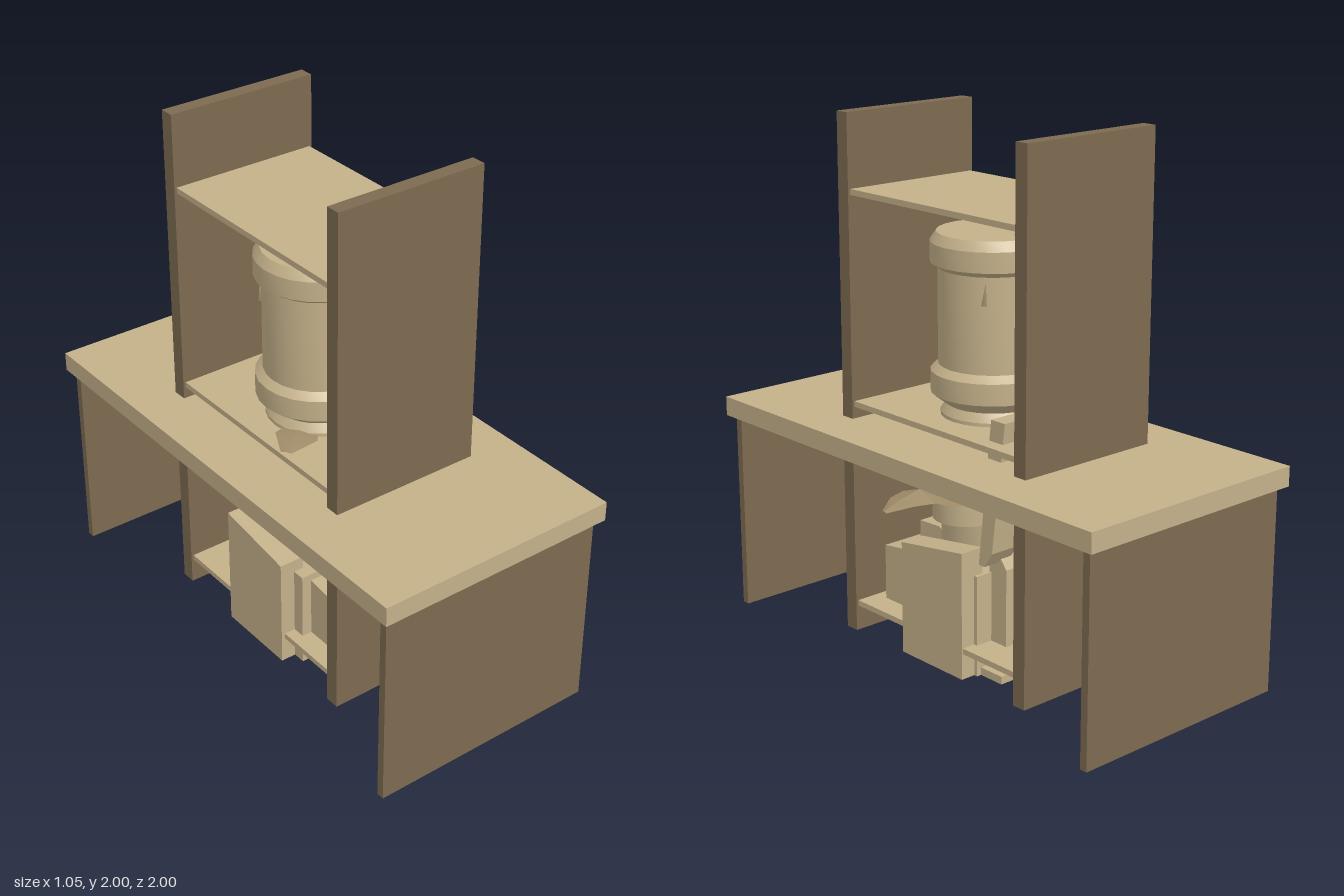
import * as THREE from 'three';
import { toCreasedNormals } from 'three/addons/utils/BufferGeometryUtils.js';

const WOOD = new THREE.MeshStandardMaterial({ color: 0x7d6a50 });
const TAN = new THREE.MeshStandardMaterial({ color: 0xc4b18a });
const LEAF = new THREE.MeshStandardMaterial({ color: 0xa08c69, side: THREE.DoubleSide });
const CX = -0.05; // axis of the drum machine

export function createModel() {
  const model = new THREE.Group();

  function add(parent, name, geometry, material) {
    const mesh = new THREE.Mesh(geometry, material);
    mesh.name = name;
    parent.add(mesh);
    return mesh;
  }

  // Box given by its lower and upper limits
  function box(parent, name, x0, x1, y0, y1, z0, z1, material) {
    const g = new THREE.BoxGeometry(x1 - x0, y1 - y0, z1 - z0);
    g.translate((x0 + x1) / 2, (y0 + y1) / 2, (z0 + z1) / 2);
    return add(parent, name, g, material);
  }

  // Outline in the z-y plane, extruded from x0 to x1
  function sidePrism(parent, name, outline, x0, x1) {
    const shape = new THREE.Shape(outline.map(([z, y]) => new THREE.Vector2(-z, y)));
    const g = new THREE.ExtrudeGeometry(shape, { depth: x1 - x0, bevelEnabled: false });
    g.rotateY(Math.PI / 2);
    g.translate(x0, 0, 0);
    return add(parent, name, g, TAN);
  }

  // Profile of [radius, height] turned around an upright axis
  function turned(parent, name, profile, x) {
    const g = new THREE.LatheGeometry(profile.map(([r, y]) => new THREE.Vector2(r, y)), 24);
    const mesh = add(parent, name, toCreasedNormals(g, 0.5), TAN);
    mesh.position.x = x;
    return mesh;
  }

  // Bent blade: stations of [distance, height, half width, edge droop]
  function blade(parent, name, stations) {
    const pos = [], index = [];
    stations.forEach(([d, h, w, droop], i) => {
      pos.push(d, h - droop, -w, d, h, 0, d, h - droop, w);
      if (i === 0) return;
      const a = (i - 1) * 3, b = i * 3;
      for (let k = 0; k < 2; k++) {
        index.push(a + k, a + k + 1, b + k, a + k + 1, b + k + 1, b + k);
      }
    });
    const g = new THREE.BufferGeometry();
    g.setAttribute('position', new THREE.Float32BufferAttribute(pos, 3));
    g.setIndex(index);
    return add(parent, name, toCreasedNormals(g, 0.4), LEAF);
  }

  // Desk with end panels, tall uprights and shelves
  const desk = new THREE.Group();
  desk.name = 'desk';
  model.add(desk);
  box(desk, 'desktop', -0.53, 0.44, 0.78, 0.855, -1, 1, TAN);
  for (const s of [-1, 1]) {
    const leg = [0.94 * s, 0.97 * s].sort((a, b) => a - b);
    const up = [0.443 * s, 0.5 * s].sort((a, b) => a - b);
    box(desk, 'endPanel', -0.505, 0.415, 0, 0.78, ...leg, WOOD);
    box(desk, 'upright', -0.345, 0.255, 0, 2, ...up, WOOD);
  }
  for (const y of [0.1, 0.9, 1.7]) {
    box(desk, 'shelf', -0.335, 0.245, y, y + 0.022, -0.443, 0.443, TAN);
  }

  // Drum machine standing between the uprights
  const machine = new THREE.Group();
  machine.name = 'drumMachine';
  model.add(machine);
  turned(machine, 'drum', [
    [0, 0.96], [0.17, 0.965], [0.228, 1.01], [0.228, 1.09], [0.2, 1.115],
    [0.2, 1.47], [0.228, 1.49], [0.228, 1.565], [0.205, 1.6], [0, 1.6],
  ], CX);
  turned(machine, 'neck', [[0, 0.4], [0.192, 0.4], [0.192, 0.935], [0.17, 0.97], [0, 0.97]], CX);
  turned(machine, 'sideCan', [[0, 0.55], [0.125, 0.55], [0.125, 0.78], [0, 0.78]], 0.08);

  // Base with sloping cheeks on both sides
  box(machine, 'base', -0.29, 0.19, 0, 0.39, -0.18, 0.22, TAN);
  const cheek = [[0.17, 0], [0.17, 0.44], [-0.165, 0.49], [-0.165, 0]];
  sidePrism(machine, 'rightCheek', cheek, -0.35, -0.25);
  sidePrism(machine, 'leftCheek', cheek, 0.15, 0.25);
  const hood = [[0.24, 0.39], [0.24, 0.47], [0.13, 0.475], [0.08, 0.44], [0.08, 0.39]];
  sidePrism(machine, 'frontHood', hood, -0.2, 0.1);
  const bin = [[0.39, 0.09], [0.39, 0.34], [0.2, 0.365], [0.2, 0.08]];
  sidePrism(machine, 'frontBin', bin, -0.25, 0.15);
  box(machine, 'frontFoot', -0.25, 0.15, 0, 0.03, 0.16, 0.25, TAN);
  box(machine, 'backFoot', -0.25, 0.17, 0, 0.03, -0.29, -0.16, TAN);
  sidePrism(machine, 'backColumn',
    [[-0.17, 0], [-0.17, 0.47], [-0.21, 0.48], [-0.26, 0.42], [-0.26, 0]], -0.22, 0.12);

  // Leaning post behind the drum
  sidePrism(machine, 'leaningPost',
    [[-0.19, 0.44], [-0.255, 1], [-0.325, 1], [-0.26, 0.5], [-0.22, 0.44]], 0.07, 0.19);

  // Blades reaching out from the machine
  const side = blade(machine, 'sideBlade', [
    [0.15, 0.64, 0.02, 0.01], [0.26, 0.7, 0.06, 0.04], [0.36, 0.735, 0.09, 0.03],
    [0.44, 0.718, 0.064, 0.013], [0.52, 0.69, 0.012, 0.004],
  ]);
  side.position.z = -0.065;
  const front = blade(machine, 'frontBlade', [
    [0.16, 0.575, 0.03, 0.01], [0.25, 0.605, 0.08, 0.03],
    [0.34, 0.58, 0.07, 0.03], [0.42, 0.515, 0.01, 0.005],
  ]);
  front.position.x = CX;
  front.rotation.y = -Math.PI / 2;
  const back = blade(machine, 'backBlade', [
    [0.17, 0.77, 0.03, 0.01], [0.26, 0.89, 0.07, 0.03],
    [0.34, 0.9, 0.06, 0.03], [0.4, 0.86, 0.01, 0.005],
  ]);
  back.position.x = CX;
  back.rotation.y = Math.PI / 2;
  const right = blade(machine, 'rightBlade', [
    [0.12, 0.93, 0.05, 0.005], [0.22, 0.945, 0.08, 0.012], [0.32, 0.93, 0.02, 0.004],
  ]);
  right.position.x = CX;
  right.rotation.y = Math.PI * 1.18;

  // Small fins on the lid and the drum wall
  for (const [y, h, x] of [[1.59, 0.08, CX], [1.37, 0.08, CX + 0.155], [1.37, 0.08, CX - 0.155]]) {
    const fin = add(machine, 'fin', new THREE.ConeGeometry(0.014, h, 4), LEAF);
    fin.position.set(x, y + h / 2, -0.128);
    fin.rotation.x = -0.1;
  }
  return model;
}
